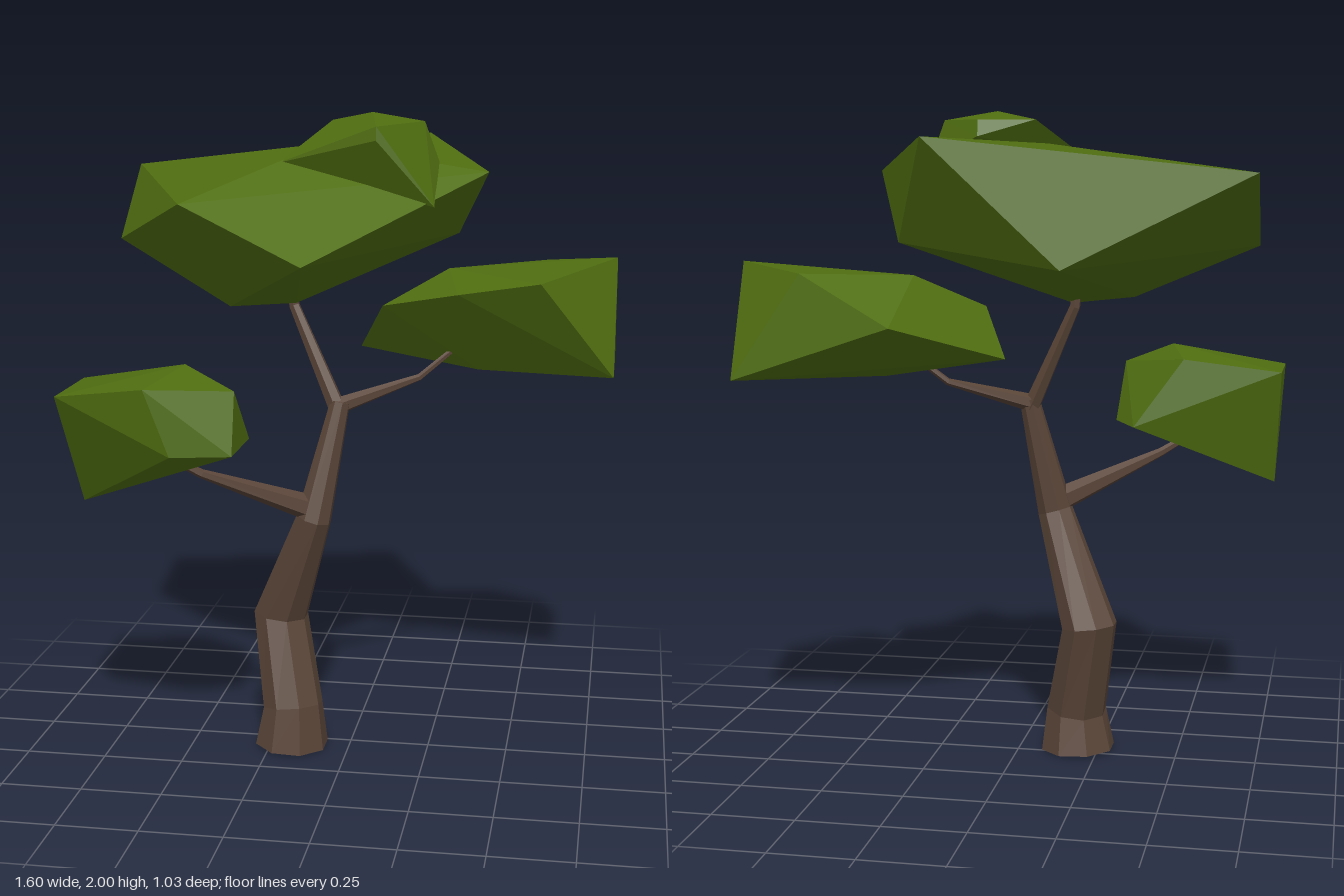
import * as THREE from 'three';
import { ConvexGeometry } from 'three/addons/geometries/ConvexGeometry.js';

const UP = new THREE.Vector3(0, 1, 0);

// Faceted tapering limb through stations [x, y, z, radius]
function limbGeometry(stations, sides) {
  const centres = stations.map(([x, y, z]) => new THREE.Vector3(x, y, z));
  const last = stations.length - 1;
  const positions = [], index = [];
  stations.forEach(([, , , radius], j) => {
    const before = centres[Math.max(j - 1, 0)], after = centres[Math.min(j + 1, last)];
    const tangent = after.clone().sub(before).normalize();
    const turn = new THREE.Quaternion().setFromUnitVectors(UP, tangent);
    for (let i = 0; i < sides; i++) {
      const a = ((i + 0.5) / sides) * Math.PI * 2;
      const p = new THREE.Vector3(Math.cos(a) * radius, 0, Math.sin(a) * radius);
      positions.push(...p.applyQuaternion(turn).add(centres[j]).toArray());
    }
  });
  for (let i = 0; i < sides; i++) {
    const n = (i + 1) % sides;
    for (let j = 0; j < last; j++) {
      const a = j * sides + i, b = j * sides + n;
      index.push(a, a + sides, b, b, a + sides, b + sides);
    }
    // End caps
    if (i > 0 && i < sides - 1) {
      const top = last * sides;
      index.push(0, i, n, top, top + n, top + i);
    }
  }
  const geometry = new THREE.BufferGeometry();
  geometry.setAttribute('position', new THREE.Float32BufferAttribute(positions, 3));
  geometry.setIndex(index);
  const flat = geometry.toNonIndexed();
  flat.computeVertexNormals();
  return flat;
}

export function createModel() {
  const bark = new THREE.MeshStandardMaterial({ color: 0x5a4538, flatShading: true });
  bark.name = 'bark brown';
  const leaf = new THREE.MeshStandardMaterial({ color: 0x4f6d10, flatShading: true });
  leaf.name = 'leaf green';

  const model = new THREE.Group();
  model.name = 'tree';
  const add = (name, geometry, material) => {
    const mesh = new THREE.Mesh(geometry, material);
    mesh.name = name;
    model.add(mesh);
  };

  // Crooked trunk and its three branches
  add('trunk', limbGeometry([
    [-0.185, 0, 0.05, 0.118], [-0.18, 0.13, 0.05, 0.096], [-0.23, 0.415, -0.02, 0.088],
    [-0.105, 0.76, 0.075, 0.056], [-0.03, 1.12, 0.025, 0.031],
  ], 8), bark);
  add('upperBranch', limbGeometry([
    [-0.035, 1.09, 0.025, 0.028], [-0.18, 1.41, -0.02, 0.017], [-0.19, 1.5, -0.02, 0.015],
  ], 6), bark);
  add('leftBranch', limbGeometry([
    [-0.04, 1.105, 0.025, 0.028], [0.2, 1.18, -0.1, 0.011], [0.32, 1.28, -0.14, 0.009],
  ], 6), bark);
  add('rightBranch', limbGeometry([
    [-0.1, 0.785, 0.07, 0.043], [-0.42, 0.93, 0.24, 0.014], [-0.52, 0.99, 0.28, 0.01],
  ], 6), bark);

  // Leaf clumps as faceted convex solids
  const clumps = {
    mainCrown: [
      [-0.75, 1.81, -0.355], [-0.74, 1.6, -0.07], [-0.45, 1.75, 0.34], [-0.07, 1.59, 0.46],
      [0.41, 1.82, -0.07], [0.18, 1.91, -0.52], [-0.21, 1.54, -0.49], [0.3, 1.61, -0.3],
      [-0.34, 1.43, 0.16], [-0.17, 1.42, 0], [-0.1, 1.9, -0.05],
    ],
    topCrown: [
      [-0.21, 1.85, 0.06], [-0.07, 1.97, -0.09], [0.1, 1.92, -0.13], [0.1, 1.97, -0.12],
      [0.215, 1.97, -0.06], [0.26, 1.85, -0.06], [0.265, 1.73, 0.115], [0.1, 1.925, 0.175],
      [0.1, 1.965, 0.17], [0.07, 2, 0.03], [0.1, 1.8, -0.03],
    ],
    leftCrown: [
      [0.58, 1.505, 0.08], [0.8, 1.55, -0.235], [0.8, 1.2, -0.375], [0.8, 1.2, -0.075],
      [0.58, 1.52, -0.38], [0.29, 1.37, -0.465], [0.28, 1.51, -0.2], [0.09, 1.41, -0.05],
      [0.33, 1.46, 0.03], [0.005, 1.26, -0.18], [0.38, 1.2, -0.15],
    ],
    rightCrown: [
      [-0.8, 1.2, 0.46], [-0.8, 1.2, 0.17], [-0.52, 1.24, 0.515], [-0.45, 1.275, 0.29],
      [-0.29, 1.21, 0.35], [-0.28, 1.035, 0.44], [-0.45, 1.04, 0.5], [-0.78, 0.84, 0.27],
      [-0.5, 1.24, 0.12], [-0.35, 1.03, 0.07], [-0.28, 1.035, 0.2],
    ],
  };
  for (const [name, points] of Object.entries(clumps)) {
    add(name, new ConvexGeometry(points.map((p) => new THREE.Vector3(...p))), leaf);
  }
  return model;
}
